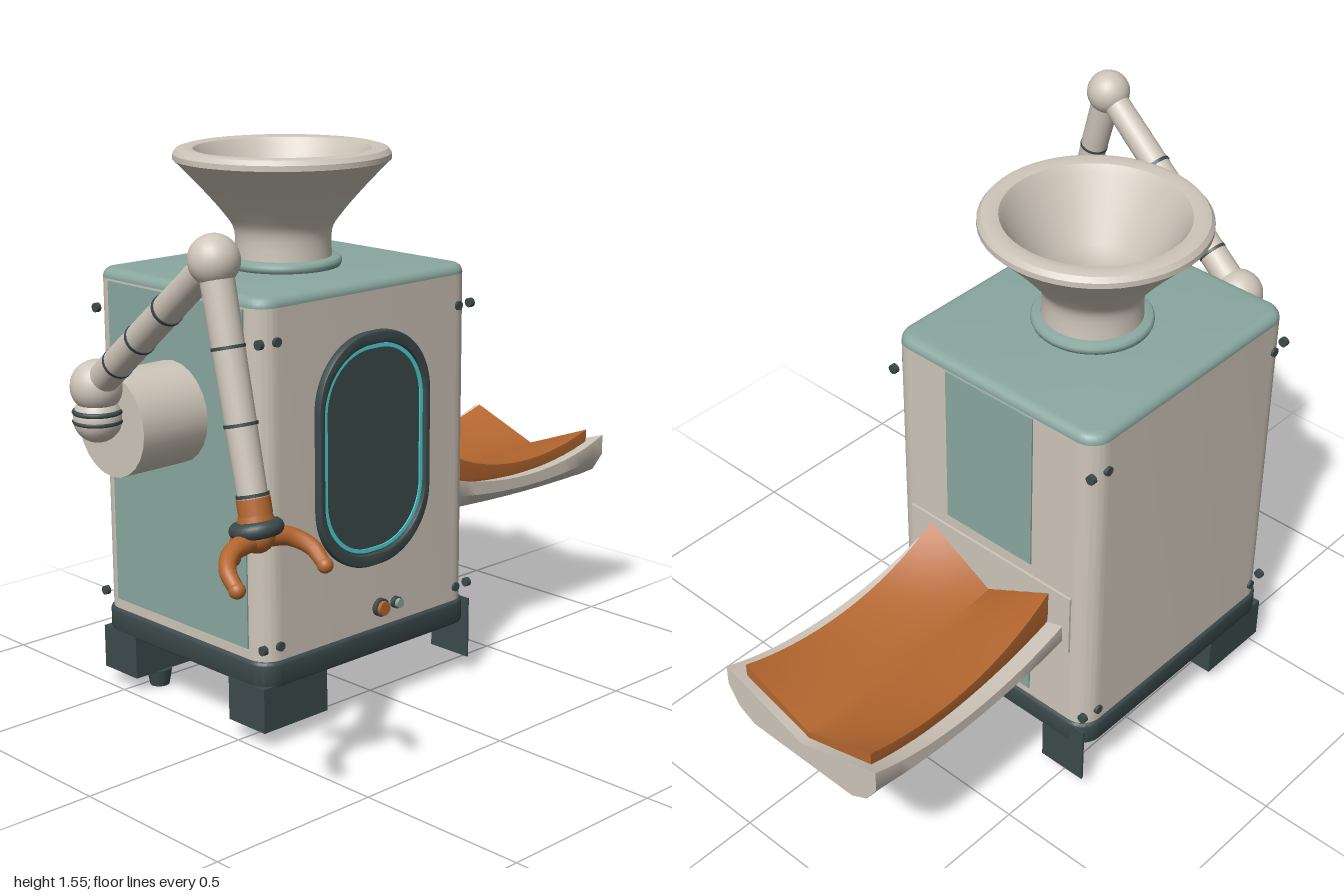
import * as THREE from 'three';
import { toCreasedNormals } from 'three/addons/utils/BufferGeometryUtils.js';

const mat = (name, color, side = THREE.FrontSide) => {
  const m = new THREE.MeshStandardMaterial({ color, side });
  m.name = name;
  return m;
};
const V = (x, y, z) => new THREE.Vector3(x, y, z);
const CX = -0.095, CZ = -0.245; // centre of the cabinet

// Rounded rectangle centred on the origin
function roundRect(w, h, r, Type = THREE.Shape) {
  const s = new Type(), a = w / 2 - r, b = h / 2 - r;
  s.absarc(a, b, r, 0, Math.PI / 2);
  s.absarc(-a, b, r, Math.PI / 2, Math.PI);
  s.absarc(-a, -b, r, Math.PI, Math.PI * 1.5);
  s.absarc(a, -b, r, Math.PI * 1.5, Math.PI * 2);
  s.closePath();
  return s;
}

// Horizontal rounded slab from y0 to y1 with bevelled rims
function slab(w, d, r, y0, y1, bevel) {
  const g = new THREE.ExtrudeGeometry(roundRect(w - 2 * bevel, d - 2 * bevel, r - bevel), {
    depth: y1 - y0 - 2 * bevel, bevelEnabled: bevel > 0, bevelSize: bevel,
    bevelThickness: bevel, bevelSegments: 4, curveSegments: 8 });
  g.rotateX(-Math.PI / 2);
  g.translate(CX, y0 + bevel, CZ);
  return toCreasedNormals(g, 0.6);
}

// Solid trough lofted along x; each station gives [x, topCentre, rise, bottom, halfTop, halfBottom]
function trough(stations) {
  const pos = [], idx = [], n = 16, hub = 12;
  for (const [x, c, rise, bottom, ht, hb] of stations) {
    const top = c + rise, h = top - bottom;
    for (let i = 0; i <= 8; i++) {
      const v = 1 - i / 4;
      pos.push(x, c + rise * Math.abs(v), CZ + v * ht);
    }
    const low = [[ht, top - h * 0.42], [hb + (ht - hb) * 0.6, top - h * 0.8], [hb, bottom]];
    for (const [w, y] of low) pos.push(x, y, CZ - w);
    pos.push(x, bottom, CZ);
    for (const [w, y] of low.reverse()) pos.push(x, y, CZ + w);
  }
  const last = stations.length - 1, o = last * n;
  for (let s = 0; s < last; s++) for (let i = 0; i < n; i++) {
    const a = s * n + i, b = s * n + (i + 1) % n;
    idx.push(a, a + n, b, b, a + n, b + n);
  }
  // End caps: fan around the bottom centre point
  for (let i = 0; i < n; i++) {
    const j = (i + 1) % n;
    if (i !== hub && j !== hub) idx.push(hub, i, j, o + hub, o + j, o + i);
  }
  const g = new THREE.BufferGeometry();
  g.setAttribute('position', new THREE.Float32BufferAttribute(pos, 3));
  g.setIndex(idx);
  return toCreasedNormals(g, 0.7);
}

// Tube that narrows towards its end
function taperedTube(points, r0, r1) {
  const curve = new THREE.CatmullRomCurve3(points), p = V(0, 0, 0);
  const g = new THREE.TubeGeometry(curve, 16, 1, 12), at = g.attributes.position;
  for (let i = 0; i < at.count; i++) {
    const t = Math.floor(i / 13) / 16, c = curve.getPointAt(t);
    p.fromBufferAttribute(at, i).sub(c).multiplyScalar(r0 + (r1 - r0) * t).add(c);
    at.setXYZ(i, p.x, p.y, p.z);
  }
  return g;
}

export function createModel() {
  const root = new THREE.Group();
  const cream = mat('cream', 0xcfc6ba), teal = mat('sage', 0x8aa8a0);
  const dark = mat('charcoal', 0x3c4a4b), orange = mat('orange', 0xb5672f);
  const cyan = mat('cyan', 0x4fd3d6), creamOpen = mat('creamShell', 0xcfc6ba, THREE.DoubleSide);
  const add = (name, geo, m, x = 0, y = 0, z = 0) => {
    const mesh = new THREE.Mesh(geo, m);
    mesh.name = name;
    mesh.position.set(x, y, z);
    root.add(mesh);
    return mesh;
  };
  const box = (w, h, d) => new THREE.BoxGeometry(w, h, d);
  // Cylinder running between two points
  const rod = (name, a, b, r0, r1, m) => {
    const mid = a.clone().add(b).multiplyScalar(0.5), dir = b.clone().sub(a);
    const mesh = add(name, new THREE.CylinderGeometry(r1, r0, dir.length(), 24), m, mid.x, mid.y, mid.z);
    mesh.quaternion.setFromUnitVectors(V(0, 1, 0), dir.normalize());
  };
  const ball = (name, p, r, m) => add(name, new THREE.SphereGeometry(r, 24, 16), m, p.x, p.y, p.z);

  // Cabinet, lid and base
  add('cabinet', slab(0.785, 0.69, 0.06, 0.2, 1.195, 0), cream);
  add('lid', slab(0.785, 0.69, 0.06, 1.17, 1.222, 0.025), teal);
  add('base', slab(0.8, 0.705, 0.065, 0.165, 0.24, 0.012), dark);
  add('underside', box(0.68, 0.004, 0.58), cream, CX, 0.164, CZ);

  // Side panels and the outlet plate
  add('rightPanelUpper', box(0.008, 0.475, 0.297), teal, 0.298, 0.955, -0.242);
  add('rightPanelLower', box(0.008, 0.23, 0.297), teal, 0.298, 0.38, -0.242);
  add('outletPlate', box(0.009, 0.19, 0.57), cream, 0.3, 0.585, CZ);
  add('leftPanel', box(0.008, 0.92, 0.56), teal, -0.488, 0.73, -0.245);

  // Feet on the left, thin brackets on the right
  for (const [z, stub] of [[0.03, -0.015], [-0.518, -0.468]]) {
    add('foot', box(0.23, 0.125, 0.144), dark, -0.38, 0.11, z);
    add('footStub', new THREE.CylinderGeometry(0.037, 0.028, 0.05, 20), dark, -0.395, 0.025, stub);
    add('footBracket', box(0.006, 0.18, 0.144), dark, 0.301, 0.14, z);
  }

  // Corner screws on every face
  const screwGeo = new THREE.CylinderGeometry(0.013, 0.013, 0.014, 14);
  for (const y of [0.28, 1.107]) {
    for (const z of [0.1, -0.59]) for (const x of [-0.434, 0.245])
      add('screw', screwGeo, dark, x, y, z).rotation.x = Math.PI / 2;
    for (const x of [-0.489, 0.299]) for (const z of [0.095, -0.583])
      add('screw', screwGeo, dark, x, y, z).rotation.z = Math.PI / 2;
  }

  // Front window: raised frame, recessed glass, glowing line
  const ring = roundRect(0.408, 0.644, 0.187);
  ring.holes.push(roundRect(0.39, 0.598, 0.178, THREE.Path));
  const frame = new THREE.ExtrudeGeometry(ring, {
    depth: 0.013, bevelSize: 0.006, bevelThickness: 0.006, bevelSegments: 3, curveSegments: 16 });
  add('windowFrame', toCreasedNormals(frame, 0.5), dark, CX, 0.76, 0.104);
  add('windowGlass', new THREE.ExtrudeGeometry(roundRect(0.4, 0.62, 0.184),
    { depth: 0.012, bevelEnabled: false, curveSegments: 16 }), dark, CX, 0.76, 0.099);
  const line = roundRect(0.372, 0.58, 0.168);
  line.holes.push(roundRect(0.35, 0.558, 0.157, THREE.Path));
  add('windowLight', new THREE.ExtrudeGeometry(line,
    { depth: 0.004, bevelEnabled: false, curveSegments: 16 }), cyan, CX, 0.762, 0.111);

  // Knobs below the window
  const knob = (name, x, r, m) => {
    add(name + 'Collar', new THREE.CylinderGeometry(r, r, 0.016, 20), dark, x, 0.297, 0.106).rotation.x = Math.PI / 2;
    add(name, new THREE.CylinderGeometry(r * 0.78, r * 0.78, 0.024, 20), m, x, 0.297, 0.113).rotation.x = Math.PI / 2;
  };
  knob('largeKnob', -0.063, 0.026, orange);
  knob('smallKnob', -0.002, 0.017, teal);

  // Hopper: rounded collar and hollow flared funnel
  const collar = [[0.14, 1.22], [0.158, 1.222], [0.162, 1.231], [0.162, 1.239], [0.156, 1.248], [0.13, 1.25]]
    .map(p => new THREE.Vector2(...p));
  add('hopperCollar', new THREE.LatheGeometry(collar, 40), teal, CX, 0, CZ);
  const flare = new THREE.SplineCurve([[0.135, 1.245], [0.135, 1.32], [0.165, 1.37], [0.225, 1.44], [0.292, 1.51]]
    .map(p => new THREE.Vector2(...p))).getPoints(16);
  const rim = [[0.3, 1.517], [0.3, 1.532], [0.29, 1.545], [0.272, 1.55], [0.245, 1.545], [0.232, 1.525],
    [0.19, 1.44], [0.14, 1.36], [0.115, 1.31], [0.115, 1.245]].map(p => new THREE.Vector2(...p));
  add('hopper', toCreasedNormals(new THREE.LatheGeometry([...flare, ...rim], 48), 0.6), creamOpen, CX, 0, CZ);
  add('hopperFloor', new THREE.CylinderGeometry(0.115, 0.115, 0.004, 32), teal, CX, 1.25, CZ);

  // Serving tray: cream shell with an orange liner, peaked at the corners
  const shell = [], liner = [];
  for (let i = 0; i <= 16; i++) {
    const t = i / 16, a = Math.pow(1 - t, 3.5), b = Math.pow(t, 4);
    shell.push([0.295 + 0.703 * t, 0.472 + 0.015 * (a + b), 0.035 + 0.055 * a + 0.055 * b,
      0.447 - 0.017 * t, 0.262 + 0.008 * t, 0.18]);
    const c = 0.513 + 0.032 * a - 0.008 * b, rise = 0.02 + 0.1 * a + 0.066 * b;
    liner.push([0.295 + 0.675 * t, c, rise, c - 0.045, 0.212 + 0.014 * t, 0.2]);
  }
  add('trayShell', trough(shell), cream);
  add('trayLiner', trough(liner), orange);

  // Arm: shoulder drum, joints, two links with ring seams
  const shoulder = V(-0.745, 0.985, -0.25), elbow = V(-0.82, 1.395, 0.318), wrist = V(-0.835, 0.83, 0.465);
  rod('shoulderDrum', V(-0.48, 0.872, -0.25), V(-0.705, 0.872, -0.25), 0.14, 0.14, cream);
  ball('shoulderLower', V(-0.745, 0.9, -0.25), 0.065, cream);
  for (const y of [0.893, 0.918])
    add('shoulderRing', new THREE.TorusGeometry(0.06, 0.007, 8, 28), dark, -0.745, y, -0.25).rotation.x = Math.PI / 2;
  ball('shoulderBall', shoulder, 0.07, cream);
  ball('elbowBall', elbow, 0.063, cream);
  rod('upperArm', shoulder, elbow, 0.042, 0.038, cream);
  rod('forearm', elbow, wrist, 0.042, 0.036, cream);
  const seam = (name, a, b, t, r, len, m) => {
    const p = a.clone().lerp(b, t), d = b.clone().sub(a).normalize().multiplyScalar(len / 2);
    rod(name, p.clone().sub(d), p.clone().add(d), r, r, m);
  };
  for (const t of [0.2, 0.4, 0.63]) seam('upperArmSeam', shoulder, elbow, t, 0.0425, 0.009, dark);
  for (const t of [0.35, 0.66]) seam('forearmSeam', elbow, wrist, t, 0.0415, 0.008, dark);

  // Gripper: orange cuff and palm, dark ring and three curved fingers
  const palm = V(-0.835, 0.775, 0.472);
  seam('cuffSeam', elbow, wrist, 0.945, 0.04, 0.008, dark);
  seam('cuff', elbow, wrist, 0.99, 0.041, 0.04, orange);
  rod('palmNeck', wrist, palm, 0.038, 0.05, orange);
  const wristRing = add('wristRing', new THREE.TorusGeometry(0.046, 0.02, 12, 28), dark, palm.x, 0.783, 0.47);
  wristRing.rotation.x = Math.PI / 2 - 0.2;
  ball('palm', V(palm.x, 0.768, palm.z), 0.044, orange);
  const fingers = [
    [V(-0.85, 0.762, 0.475), V(-0.93, 0.75, 0.492), V(-0.97, 0.725, 0.522), V(-0.98, 0.69, 0.566)],
    [V(-0.82, 0.762, 0.475), V(-0.75, 0.75, 0.492), V(-0.716, 0.725, 0.53), V(-0.715, 0.69, 0.575)],
    [V(-0.835, 0.76, 0.46), V(-0.83, 0.742, 0.41), V(-0.822, 0.71, 0.378), V(-0.82, 0.68, 0.365)]];
  for (const pts of fingers) {
    add('finger', taperedTube(pts, 0.027, 0.018), orange);
    ball('fingertip', pts[3], 0.02, orange);
  }
  return root;
}
